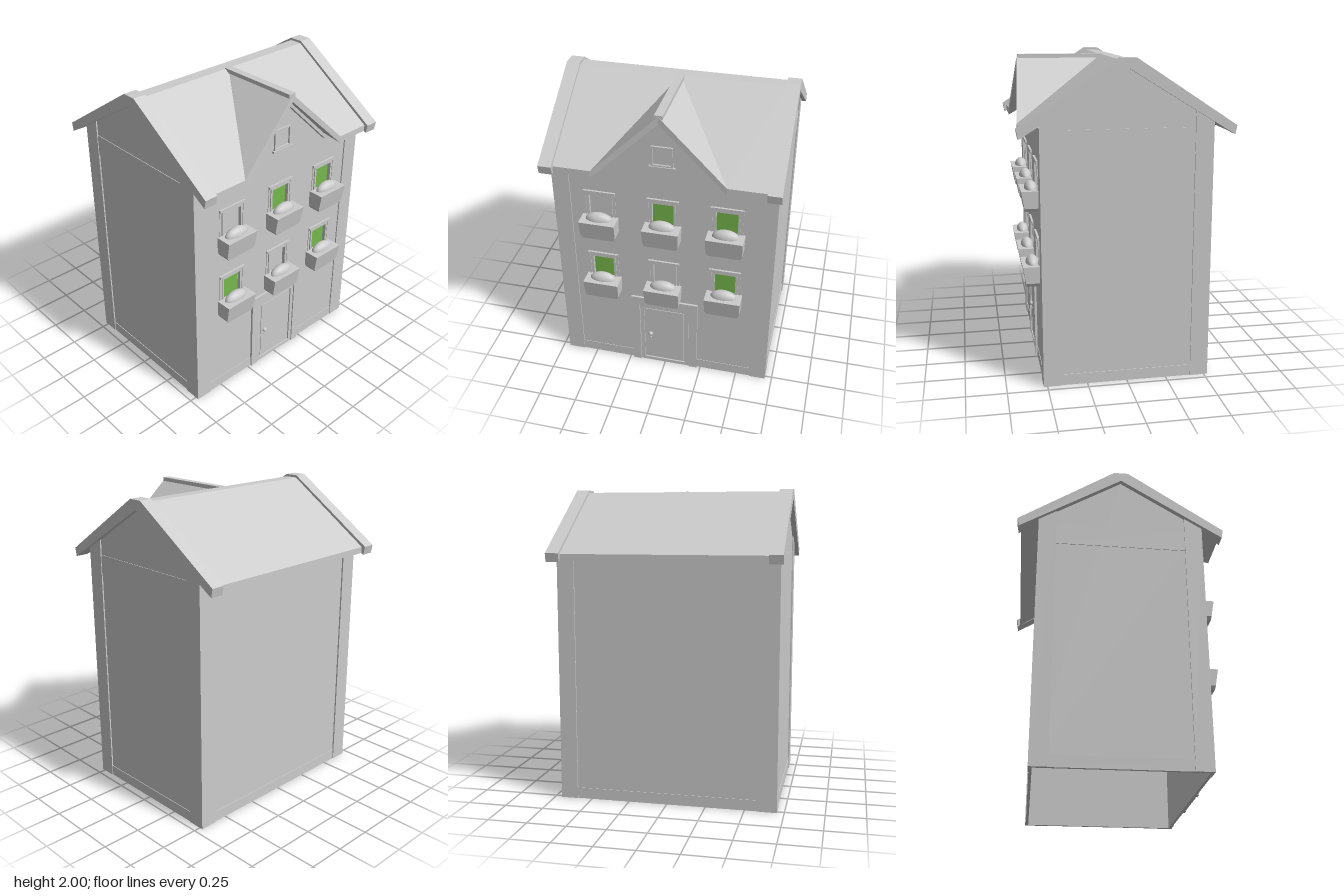
import * as THREE from 'three';

const plaster = new THREE.MeshStandardMaterial({ color: 0xcccccc, side: THREE.DoubleSide });
plaster.name = 'light grey plaster';
const glass = new THREE.MeshStandardMaterial({ color: 0x76b84c, side: THREE.DoubleSide });
glass.name = 'green glass';

const shapeOf = (pts) => new THREE.Shape(pts.map(([a, b]) => new THREE.Vector2(a, b)));
const rect = (x0, x1, y0, y1) => [[x0, y0], [x1, y0], [x1, y1], [x0, y1]];

export function createModel() {
  const house = new THREE.Group();
  house.name = 'townHouse';

  const add = (name, geo, parent = house, mat = plaster) => {
    const m = new THREE.Mesh(geo, mat);
    m.name = name;
    parent.add(m);
    return m;
  };
  const box = (name, x0, x1, y0, y1, z0, z1, parent = house, mat = plaster) => {
    const m = add(name, new THREE.BoxGeometry(x1 - x0, y1 - y0, z1 - z0), parent, mat);
    m.position.set((x0 + x1) / 2, (y0 + y1) / 2, (z0 + z1) / 2);
    return m;
  };
  // outline in x,y pushed along z
  const frontPlate = (pts, z0, z1, holes = []) => {
    const s = shapeOf(pts);
    holes.forEach((h) => s.holes.push(shapeOf(h)));
    return new THREE.ExtrudeGeometry(s, { depth: z1 - z0, bevelEnabled: false }).translate(0, 0, z0);
  };
  // outline in z,y pushed along x
  const sidePlate = (pts, x0, x1) =>
    new THREE.ExtrudeGeometry(shapeOf(pts), { depth: x1 - x0, bevelEnabled: false })
      .rotateY(-Math.PI / 2).translate(x1, 0, 0);
  // flat convex panel with vertical thickness
  const slab = (pts, dy) => {
    const [a, b, c] = pts.map((p) => new THREE.Vector3(...p));
    const up = b.clone().sub(a).cross(c.clone().sub(a)).y > 0;
    const top = up ? pts : [...pts].reverse();
    const low = top.map(([x, y, z]) => [x, y - dy, z]);
    const v = [];
    for (let i = 1; i < top.length - 1; i++) {
      v.push(...top[0], ...top[i], ...top[i + 1], ...low[0], ...low[i + 1], ...low[i]);
    }
    top.forEach((p, i) => {
      const j = (i + 1) % top.length;
      v.push(...p, ...low[i], ...low[j], ...p, ...low[j], ...top[j]);
    });
    const g = new THREE.BufferGeometry();
    g.setAttribute('position', new THREE.Float32BufferAttribute(v, 3));
    g.computeVertexNormals();
    return g;
  };

  // windows: column, frame top, glazed green or plain
  const windows = [
    [-0.405, 1.38, false], [0, 1.38, true], [0.4, 1.38, true],
    [-0.405, 0.9, true], [0, 0.9, false], [0.4, 0.9, true],
  ];

  // walls, open underneath
  const openings = windows.map(([x, t]) => rect(x - 0.068, x + 0.068, t - 0.24, t - 0.035));
  add('frontWall', frontPlate([[-0.69, 0], [0.69, 0], [0.69, 1.6], [0.36, 1.6], [0, 1.94], [-0.36, 1.6], [-0.69, 1.6]],
    0.5, 0.515, openings));
  box('backWall', -0.69, 0.69, 0, 1.61, -0.513, -0.5);
  for (const s of [-1, 1]) {
    const side = s > 0 ? 'left' : 'right';
    const span = (a, b) => (s > 0 ? [a, b] : [-b, -a]);
    add(side + 'Wall', sidePlate([[-0.51, 0], [0.51, 0], [0.51, 1.63], [0, 1.945], [-0.51, 1.63]], ...span(0.68, 0.696)));
    for (const f of [-1, 1]) {
      // corner posts made of two thin boards
      add('cornerBoardSide', sidePlate([[f * 0.41, 0], [f * 0.523, 0], [f * 0.523, 1.62], [f * 0.41, 1.69]], ...span(0.685, 0.705)));
      const [x0, x1] = span(0.595, 0.703);
      box('cornerBoardFace', x0, x1, 0, 1.6, f > 0 ? 0.503 : -0.523, f > 0 ? 0.523 : -0.503);
    }
    // plinth and frieze rails on the side
    const [r0, r1] = span(0.69, 0.7);
    box('sidePlinth', r0, r1, 0, 0.07, -0.42, 0.42);
    box('sideFrieze', r0, r1, 1.45, 1.59, -0.42, 0.42);
    const [p0, p1] = span(0.2, 0.6);
    box('frontPlinth', p0, p1, 0, 0.07, 0.51, 0.518);
  }
  box('backPlinth', -0.6, 0.6, 0, 0.07, -0.517, -0.51);
  box('backFrieze', -0.6, 0.6, 1.52, 1.6, -0.517, -0.51);

  // main roof
  const ridgeY = 1.985, eaveY = 1.595, rz = 0.04, ez = 0.63;
  add('backRoof', slab([[-0.65, ridgeY, -rz], [0.65, ridgeY, -rz], [0.65, eaveY, -ez], [-0.65, eaveY, -ez]], 0.04));
  add('roofRidge', slab([[-0.65, ridgeY, -rz], [0.65, ridgeY, -rz], [0.65, ridgeY, rz], [-0.65, ridgeY, rz]], 0.04));
  for (const s of [-1, 1]) {
    add('frontRoof', slab([[0, ridgeY, rz], [s * 0.65, ridgeY, rz], [s * 0.65, eaveY, ez], [s * 0.41, eaveY, ez]], 0.04));
    // cross gable slope, meeting the main roof in a valley
    add('gableRoof', slab([[0, ridgeY, rz], [0, ridgeY, 0.59], [s * 0.41, eaveY, ez]], 0.045));
    // raised verge along each end
    const verge = [[0.045, 2], [0.655, 1.6], [0.645, 1.545], [0.62, 1.56], [0, 1.94],
      [-0.62, 1.56], [-0.645, 1.545], [-0.655, 1.6], [-0.045, 2]];
    add('roofVerge', sidePlate(verge, s > 0 ? 0.645 : -0.73, s > 0 ? 0.73 : -0.645));
  }
  box('gableRidgeCap', -0.025, 0.025, 1.965, 1.99, 0.035, 0.585);
  add('gableTrim', frontPlate([[-0.4, 1.56], [-0.37, 1.56], [0, 1.915], [0.37, 1.56], [0.4, 1.56], [0, 1.945]], 0.51, 0.545));

  // gable window
  add('gableWindowFrame', frontPlate(rect(-0.067, 0.067, 1.615, 1.752), 0.51, 0.526, [rect(-0.056, 0.056, 1.628, 1.742)]));
  box('gableWindowSill', -0.08, 0.08, 1.605, 1.618, 0.51, 0.532);

  // windows with flower boxes
  const trough = frontPlate([[-0.1, 0], [0.1, 0], [0.113, 0.022], [0.116, 0.13], [-0.116, 0.13], [-0.113, 0.022]], 0.51, 0.62);
  const tp = trough.attributes.position;
  for (let i = 0; i < tp.count; i++) {
    if (tp.getZ(i) > 0.6) tp.setZ(i, 0.598 + 0.022 * Math.min(1, tp.getY(i) / 0.13));
  }
  trough.computeVertexNormals();
  const plant = new THREE.SphereGeometry(1, 20, 8, 0, Math.PI * 2, 0, Math.PI / 2).scale(0.085, 0.05, 0.04);
  for (const [x, top, green] of windows) {
    const w = new THREE.Group();
    w.name = 'window';
    w.position.set(x, top, 0);
    house.add(w);
    add('windowFrame', frontPlate(rect(-0.082, 0.082, -0.24, -0.015), 0.505, 0.522, [rect(-0.068, 0.068, -0.23, -0.035)]), w);
    box('windowHeader', -0.102, 0.102, -0.016, 0, 0.51, 0.528, w);
    for (const s of [-1, 1]) box('windowJamb', s * 0.095 - 0.006, s * 0.095 + 0.006, -0.2, -0.015, 0.51, 0.519, w);
    box('windowPane', -0.075, 0.075, -0.245, -0.03, 0.484, 0.492, w, green ? glass : plaster);
    add('flowerBox', trough, w).position.y = -0.315;
    add('plantMound', plant, w).position.set(0, -0.188, 0.555);
  }

  // front door
  add('doorSurround', frontPlate([[-0.225, 0], [-0.17, 0], [-0.17, 0.51], [0.17, 0.51], [0.17, 0], [0.225, 0], [0.225, 0.57], [-0.225, 0.57]], 0.505, 0.53));
  add('doorFrame', frontPlate(rect(-0.168, 0.168, 0, 0.508), 0.51, 0.524, [rect(-0.142, 0.142, 0.025, 0.482)]));
  box('doorPanel', -0.132, 0.132, 0.035, 0.472, 0.51, 0.519);
  add('doorKnob', new THREE.SphereGeometry(0.015, 14, 10)).position.set(-0.1, 0.25, 0.523);
  add('keyhole', new THREE.SphereGeometry(0.006, 8, 6)).position.set(-0.1, 0.213, 0.52);

  return house;
}
